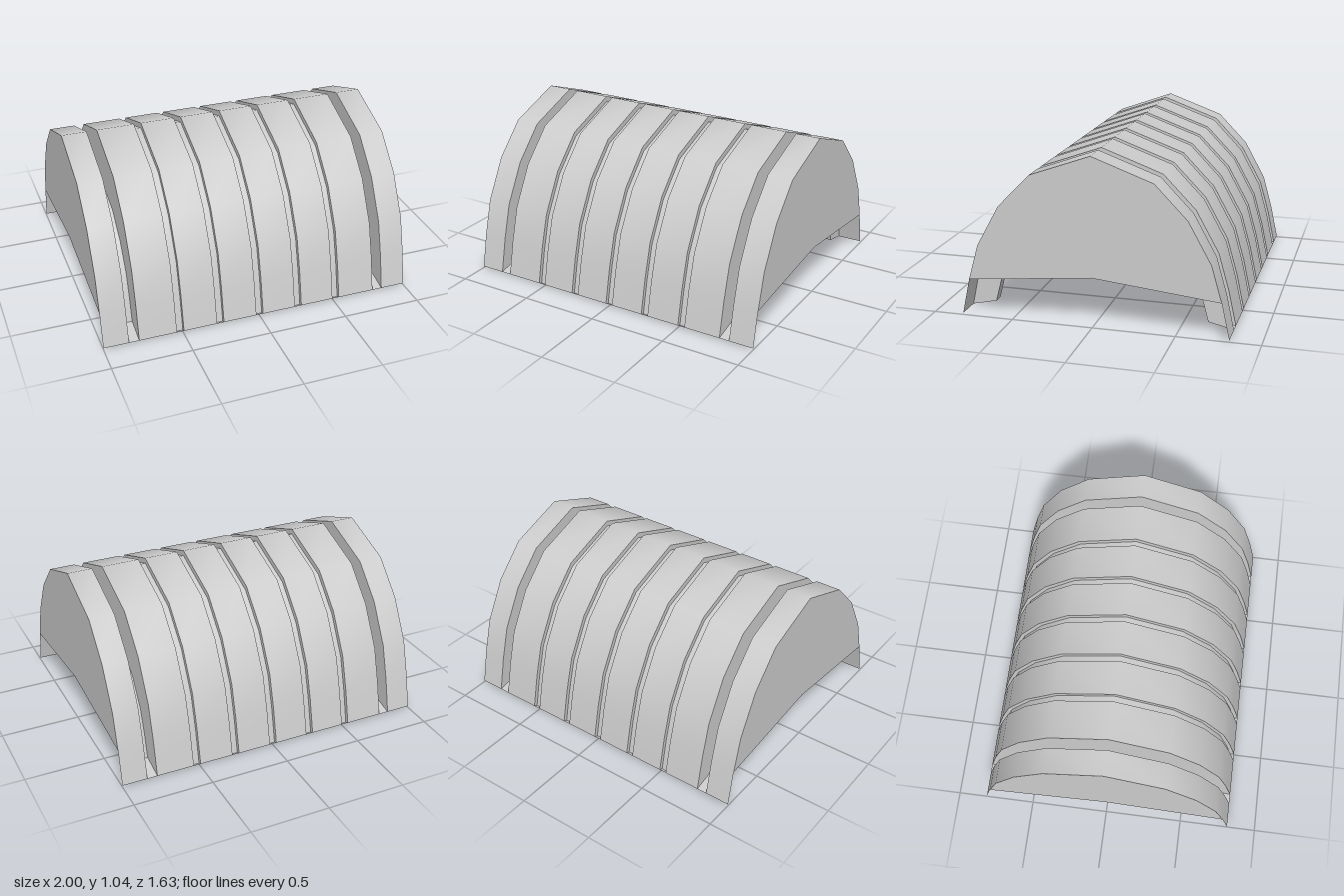
import * as THREE from 'three';

const material = new THREE.MeshStandardMaterial({ color: 0xcccccc, side: THREE.DoubleSide });

// Half of the arch as [z, y], from the front foot to the ridge
const HALF = [[0.815, 0.01], [0.767, 0.231], [0.705, 0.45], [0.567, 0.7], [0.371, 0.902], [0, 1.037]];
const ARCH = [...HALF, ...HALF.slice(0, -1).reverse().map(([z, y]) => [-z, y])];

// Arch squeezed inwards for a channel whose foot sits at the given height
const squeeze = (sz, sy, foot) => ARCH.map(([z, y]) => [z * sz, foot + (y - 0.01) * sy]);
const DEEP = squeeze(0.812, 0.664, 0.045);
const SHALLOW = squeeze(0.97, 0.975, 0);

// Surface between two polylines, each lying in a plane of constant x
function strip(name, a, xa, b, xb) {
  const pos = [], index = [];
  a.forEach(([z, y], i) => pos.push(xa, y, z, xb, b[i][1], b[i][0]));
  for (let i = 0; i < a.length - 1; i++) {
    const k = 2 * i;
    index.push(k, k + 1, k + 3, k, k + 3, k + 2);
  }
  const geo = new THREE.BufferGeometry();
  geo.setAttribute('position', new THREE.Float32BufferAttribute(pos, 3));
  geo.setIndex(index);
  geo.computeVertexNormals();
  const mesh = new THREE.Mesh(geo, material);
  mesh.name = name;
  return mesh;
}

// Recessed channel: bottom, two side walls and a closing floor at each foot
function channel(name, inner, x0, x1) {
  const group = new THREE.Group();
  group.name = name;
  const n = ARCH.length - 1;
  const front = [ARCH[0], inner[0]], back = [inner[n], ARCH[n]];
  group.add(
    strip('channelBottom', inner, x0, inner, x1),
    strip('channelWallRight', ARCH, x0, inner, x0),
    strip('channelWallLeft', inner, x1, ARCH, x1),
    strip('channelFootFront', front, x0, front, x1),
    strip('channelFootBack', back, x0, back, x1),
  );
  return group;
}

// End wall filling the arch down to a shallow peaked lower edge
function endWall(side) {
  const points = ARCH.slice(1, -1).map(([z, y]) => new THREE.Vector2(z, y));
  points.push(new THREE.Vector2(0, 0.31));
  const mesh = new THREE.Mesh(new THREE.ShapeGeometry(new THREE.Shape(points)), material);
  mesh.rotation.y = side * Math.PI / 2;
  mesh.position.x = side;
  mesh.name = side > 0 ? 'endWallLeft' : 'endWallRight';
  return mesh;
}

export function createModel() {
  const model = new THREE.Group();
  model.name = 'archedCover';

  // Channels along the length, with shell panels between them
  const channels = [
    { x: -0.81, w: 0.064, inner: DEEP },
    ...[-2, -1, 0, 1, 2].map((i) => ({ x: i * 0.259, w: 0.045, inner: SHALLOW })),
    { x: 0.81, w: 0.064, inner: DEEP },
  ];
  let x = -1;
  for (const c of channels) {
    const x0 = c.x - c.w / 2, x1 = c.x + c.w / 2;
    model.add(strip('shellPanel', ARCH, x, ARCH, x0));
    model.add(channel(c.inner === DEEP ? 'deepChannel' : 'shallowChannel', c.inner, x0, x1));
    x = x1;
  }
  model.add(strip('shellPanel', ARCH, x, ARCH, 1));

  model.add(endWall(1), endWall(-1));
  return model;
}
